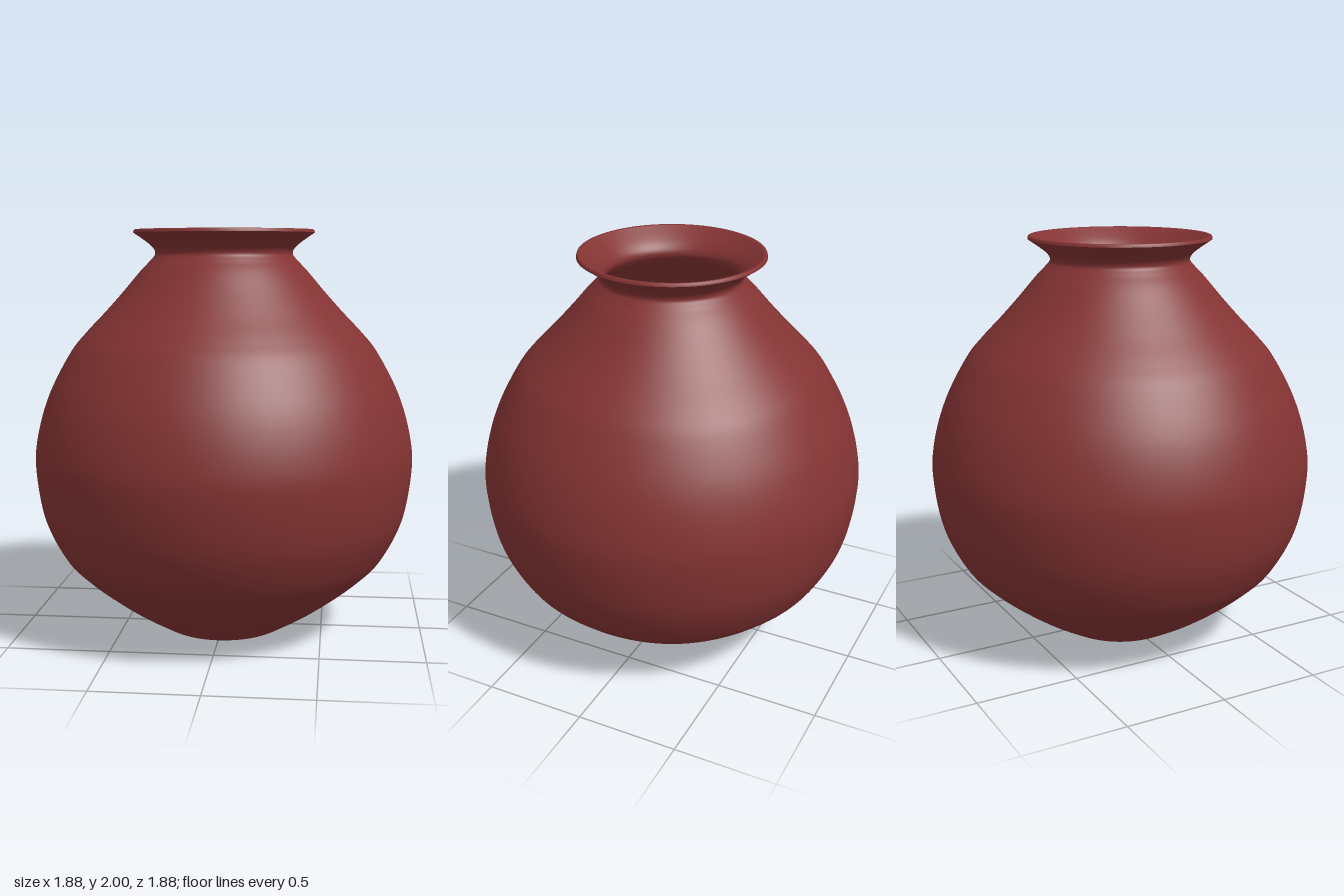
import * as THREE from 'three';

const SEGMENTS = 96;

// Smooth profile through a few [radius, height] points
function smooth(points, samples) {
  const curve = new THREE.SplineCurve(points.map(([r, y]) => new THREE.Vector2(r, y)));
  return curve.getPoints(samples);
}

export function createModel() {
  const vase = new THREE.Group();
  vase.name = 'vase';
  const clay = new THREE.MeshStandardMaterial({ color: 0x843333 });
  clay.name = 'redClay';

  function addLathe(name, profile) {
    const mesh = new THREE.Mesh(new THREE.LatheGeometry(profile, SEGMENTS), clay);
    mesh.name = name;
    vase.add(mesh);
  }
  const line = (...points) => points.map(([r, y]) => new THREE.Vector2(r, y));

  // Round belly, pinched neck and flared collar
  const outer = [
    [0.31, 0.01], [0.46, 0.1], [0.6, 0.2], [0.72, 0.3], [0.81, 0.4], [0.9, 0.59],
    [0.938, 0.83], [0.925, 1.0], [0.865, 1.2], [0.76, 1.4], [0.68, 1.5],
    [0.585, 1.6], [0.495, 1.7], [0.41, 1.8], [0.362, 1.85], [0.338, 1.885],
    [0.362, 1.925], [0.445, 1.985],
  ];
  addLathe('outerWall', smooth(outer, 110));

  // Flat foot with a small bevel
  addLathe('foot', line([0, 0], [0.29, 0]));
  addLathe('footBevel', line([0.29, 0], [0.31, 0.01]));

  // Thin lip
  addLathe('lipEdge', line([0.445, 1.985], [0.442, 1.997], [0.436, 2]));
  addLathe('lipTop', line([0.436, 2], [0.425, 1.998]));

  // Inner wall, from the funnel mouth down to the floor
  const inner = [
    [0.425, 1.998], [0.345, 1.935], [0.316, 1.885], [0.34, 1.84], [0.39, 1.79],
    [0.475, 1.69], [0.565, 1.59], [0.66, 1.49], [0.74, 1.39], [0.845, 1.19],
    [0.905, 1.0], [0.916, 0.83], [0.88, 0.6], [0.79, 0.41], [0.7, 0.31],
    [0.58, 0.21], [0.45, 0.12], [0.3, 0.03],
  ];
  addLathe('innerWall', smooth(inner, 110));
  addLathe('innerFloor', line([0.3, 0.03], [0, 0.03]));

  return vase;
}
